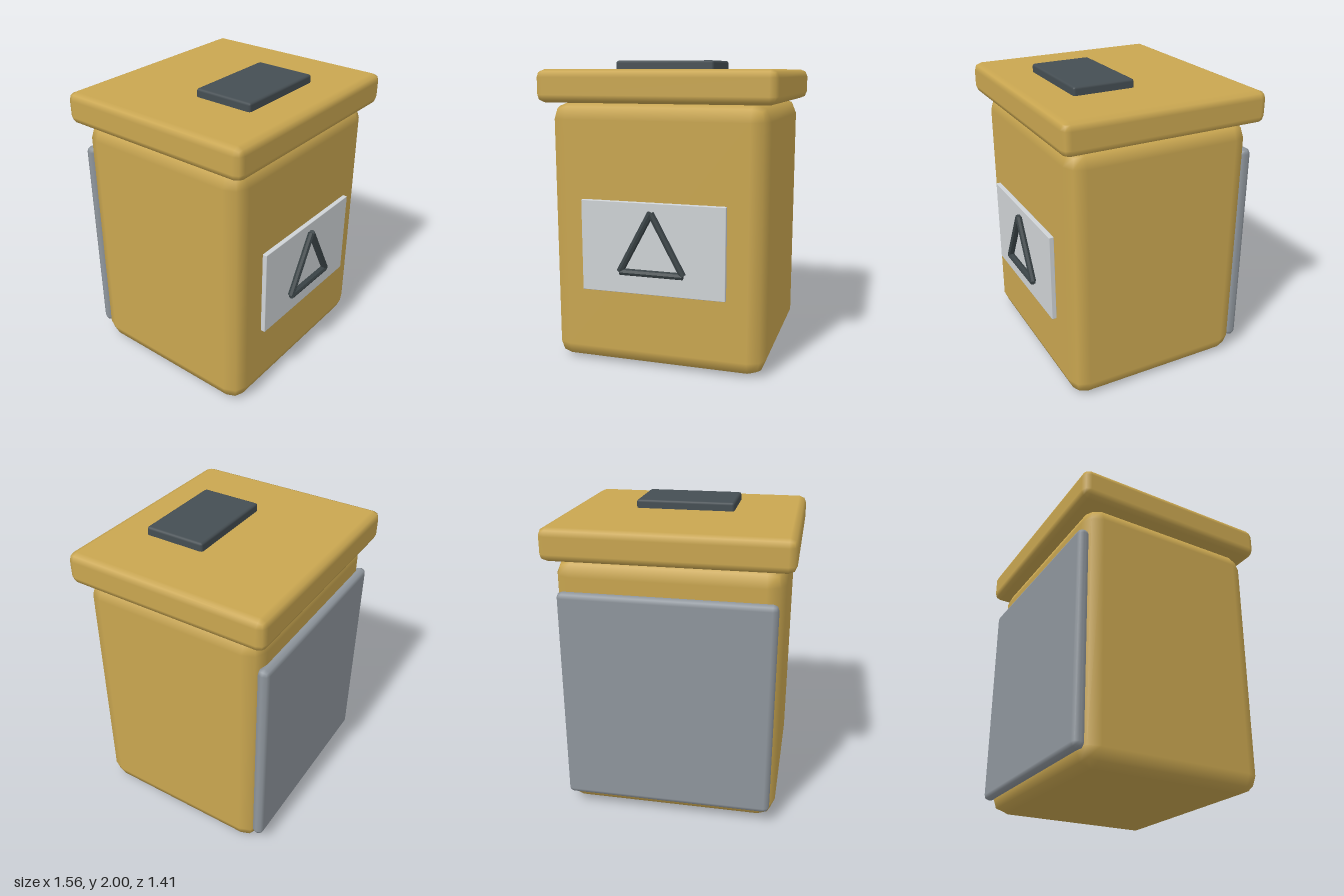
import * as THREE from 'three';
import { RoundedBoxGeometry } from 'three/addons/geometries/RoundedBoxGeometry.js';

const paint = (color, flatShading = false) => new THREE.MeshStandardMaterial({ color, flatShading });

export function createModel() {
  const model = new THREE.Group();
  const gold = paint(0xc9a650);
  const dark = paint(0x454e53);
  const darkFlat = paint(0x3a4346, true);
  const steel = paint(0x8f969d);
  const pale = paint(0xcfd3d6);

  // Softly bevelled box given by its min and max corners
  const block = (name, material, radius, [x0, y0, z0], [x1, y1, z1]) => {
    const mesh = new THREE.Mesh(new RoundedBoxGeometry(x1 - x0, y1 - y0, z1 - z0, 1, radius), material);
    mesh.position.set((x0 + x1) / 2, (y0 + y1) / 2, (z0 + z1) / 2);
    mesh.name = name;
    model.add(mesh);
  };

  block('body', gold, 0.11, [-0.72, 0, -0.64], [0.72, 1.74, 0.62]);
  block('lid', gold, 0.05, [-0.78, 1.735, -0.705], [0.78, 1.945, 0.68]);
  block('lidHandle', dark, 0.016, [-0.33, 1.93, -0.01], [0.33, 2, 0.407]);
  block('backPanel', steel, 0.036, [-0.69, 0.09, -0.69], [0.69, 1.54, -0.61]);
  block('frontPlate', pale, 0.004, [-0.48, 0.52, 0.632], [0.48, 1.12, 0.665]);

  // Triangle sign made of three bars
  const sign = new THREE.Group();
  sign.name = 'triangleSign';
  const up = new THREE.Vector3(0, 1, 0);
  const bar = (name, ax, ay, bx, by) => {
    const a = new THREE.Vector3(ax, ay, 0.682);
    const b = new THREE.Vector3(bx, by, 0.682);
    const mesh = new THREE.Mesh(new THREE.CylinderGeometry(0.023, 0.023, a.distanceTo(b), 8), darkFlat);
    mesh.position.copy(a).add(b).multiplyScalar(0.5);
    mesh.quaternion.setFromUnitVectors(up, b.sub(a).normalize());
    mesh.name = name;
    sign.add(mesh);
  };
  bar('signBottomBar', -0.21, 0.667, 0.21, 0.667);
  bar('signRightBar', -0.21, 0.67, 0, 1.06);
  bar('signLeftBar', 0.21, 0.67, 0, 1.06);
  model.add(sign);

  return model;
}
